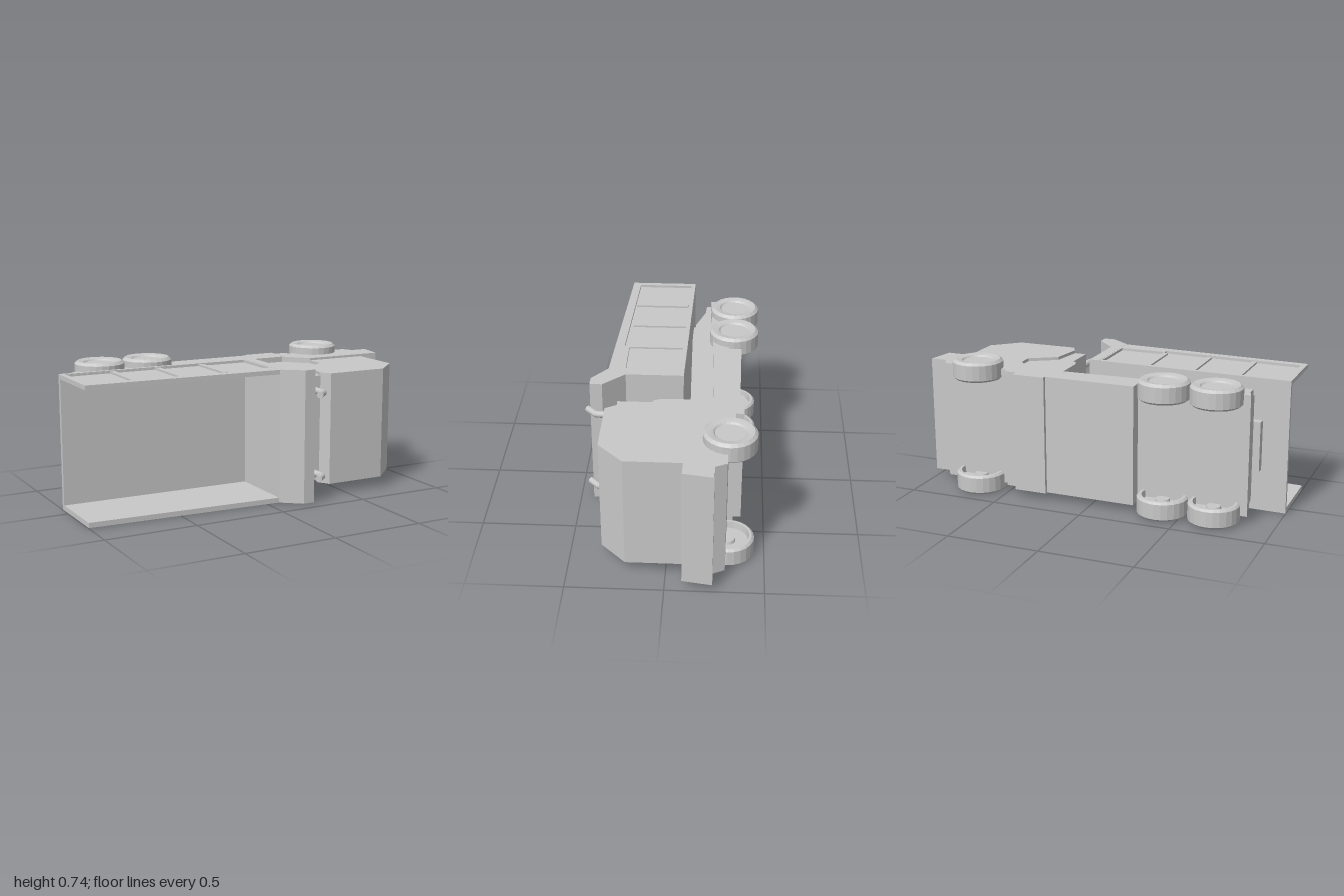
import * as THREE from 'three';

const gray = new THREE.MeshStandardMaterial({ color: 0xc8c8c8 });
gray.name = 'light grey';

// The truck rests on its side: nose +x, roof +z, width along y.
// Extrudes an (x, z) outline from y0 to y1.
function slab(name, pts, y0, y1, hole) {
  const shape = new THREE.Shape(pts.map(p => new THREE.Vector2(...p)));
  if (hole) shape.holes.push(new THREE.Path(hole.map(p => new THREE.Vector2(...p))));
  const geo = new THREE.ExtrudeGeometry(shape, { depth: y1 - y0, bevelEnabled: false });
  geo.rotateX(Math.PI / 2);
  geo.translate(0, y1, 0);
  const mesh = new THREE.Mesh(geo, gray);
  mesh.name = name;
  return mesh;
}

// Wheel with its outer face at y = 0 and a recessed back
function wheelGeometry() {
  const profile = [
    [0, 0.014], [0.078, 0.014], [0.086, 0.006], [0.1, 0.003], [0.12, 0], [0.136, 0.014],
    [0.136, 0.096], [0.124, 0.107], [0.11, 0.107], [0.106, 0.07], [0.04, 0.07], [0.036, 0.085], [0, 0.085],
  ].map(p => new THREE.Vector2(...p));
  const geo = new THREE.LatheGeometry(profile, 24).toNonIndexed();
  geo.computeVertexNormals();
  return geo;
}

export function createModel() {
  const truck = new THREE.Group();
  truck.name = 'dumpTruck';

  // Chassis
  truck.add(slab('frontChassis', [
    [0.25, -0.378], [0.43, -0.378], [0.43, -0.335], [0.5, -0.335], [0.5, -0.305], [0.88, -0.3],
    [0.91, -0.24], [1, -0.24], [0.975, -0.086], [0.525, -0.095], [0.41, -0.22], [0.25, -0.22],
  ], 0.042, 0.69));
  truck.add(slab('rearChassis', [
    [-0.85, -0.295], [-0.25, -0.295], [-0.25, -0.362], [0.25, -0.358], [0.25, -0.22],
    [-0.25, -0.205], [-0.83, -0.18], [-0.83, -0.235],
  ], 0.042, 0.69));
  truck.add(slab('subframe', [
    [-0.83, -0.19], [-0.25, -0.215], [0.26, -0.23], [0.26, -0.1], [-0.42, -0.085],
    [-0.6, -0.1], [-0.75, -0.15], [-0.83, -0.155],
  ], 0.08, 0.655));
  truck.add(slab('bedHinge', [
    [-0.86, -0.125], [-0.76, -0.122], [-0.72, -0.07], [-0.86, -0.073],
  ], 0.23, 0.5));

  // Cab and the narrower panel behind it
  truck.add(slab('cab', [
    [0.525, -0.1], [0.867, -0.1], [0.867, 0.205], [0.73, 0.336], [0.39, 0.336],
    [0.357, 0.28], [0.382, 0.1], [0.525, 0.01],
  ], 0.062, 0.677));
  truck.add(slab('cabBackPanel', [
    [0.25, -0.23], [0.42, -0.23], [0.535, -0.1], [0.535, 0.02], [0.4, 0.11],
    [0.37, 0.28], [0.29, 0.28], [0.29, 0.1], [0.27, 0.09], [0.255, 0.05],
  ], 0.08, 0.66));

  // Bent exhaust pipes
  for (const y of [0.13, 0.588]) {
    const path = new THREE.CurvePath();
    const p = [[0.308, 0.25], [0.308, 0.39], [0.255, 0.44]].map(([x, z]) => new THREE.Vector3(x, y, z));
    path.add(new THREE.LineCurve3(p[0], p[1]));
    path.add(new THREE.LineCurve3(p[1], p[2]));
    const pipe = new THREE.Mesh(new THREE.TubeGeometry(path, 12, 0.018, 12), gray);
    pipe.name = 'exhaustPipe';
    truck.add(pipe);
    const cap = new THREE.Mesh(new THREE.CircleGeometry(0.018, 12), gray);
    cap.position.copy(p[2]);
    cap.lookAt(p[2].clone().multiplyScalar(2).sub(p[1]));
    cap.name = 'exhaustTip';
    truck.add(cap);
  }

  // Tipping bed: floor, headboard with canopy, framed side walls
  truck.add(slab('bedFloor', [
    [-1, -0.081], [0.12, -0.058], [0.12, -0.035], [-1, -0.058],
  ], 0.01, 0.72));
  truck.add(slab('bedHeadboard', [
    [0.065, -0.058], [0.122, -0.058], [0.122, 0.25], [0.232, 0.365], [0.232, 0.43],
    [0.17, 0.43], [0.065, 0.347],
  ], 0.003, 0.725));
  const wall = [[-1, -0.081], [0.1, -0.058], [0.1, 0.348], [-1, 0.293]];
  const recess = [
    [-0.97, -0.06], [0.055, -0.035], [0.055, 0.255], [-0.2, 0.255], [-0.2, 0.282], [-0.97, 0.25],
  ];
  for (const [outer, inner] of [[0.003, 0.03], [0.724, 0.7]]) {
    const s = Math.sign(inner - outer);
    const span = (a, b) => [Math.min(a, b), Math.max(a, b)];
    const mid = outer + s * 0.014;
    truck.add(slab('bedSideFrame', wall, ...span(outer, mid), recess));
    truck.add(slab('bedSidePanel', wall, ...span(mid, inner)));
    for (const x of [-0.715, -0.46, -0.205]) {
      truck.add(slab('bedSideRib', [
        [x - 0.014, -0.05], [x + 0.014, -0.05], [x + 0.014, 0.255], [x - 0.014, 0.255],
      ], ...span(outer + s * 0.004, mid)));
    }
  }

  // Wheels on both sides: x, z, outer faces
  const geo = wheelGeometry();
  for (const [name, x, z, low, high] of [
    ['rearWheel', -0.68, -0.32, 0.005, 0.738],
    ['middleWheel', -0.4, -0.32, 0.005, 0.738],
    ['frontWheel', 0.67, -0.311, 0, 0.742],
  ]) {
    for (const y of [low, high]) {
      const wheel = new THREE.Mesh(geo, gray);
      wheel.position.set(x, y, z);
      if (y === high) wheel.rotation.x = Math.PI;
      wheel.name = name;
      truck.add(wheel);
    }
  }
  return truck;
}
